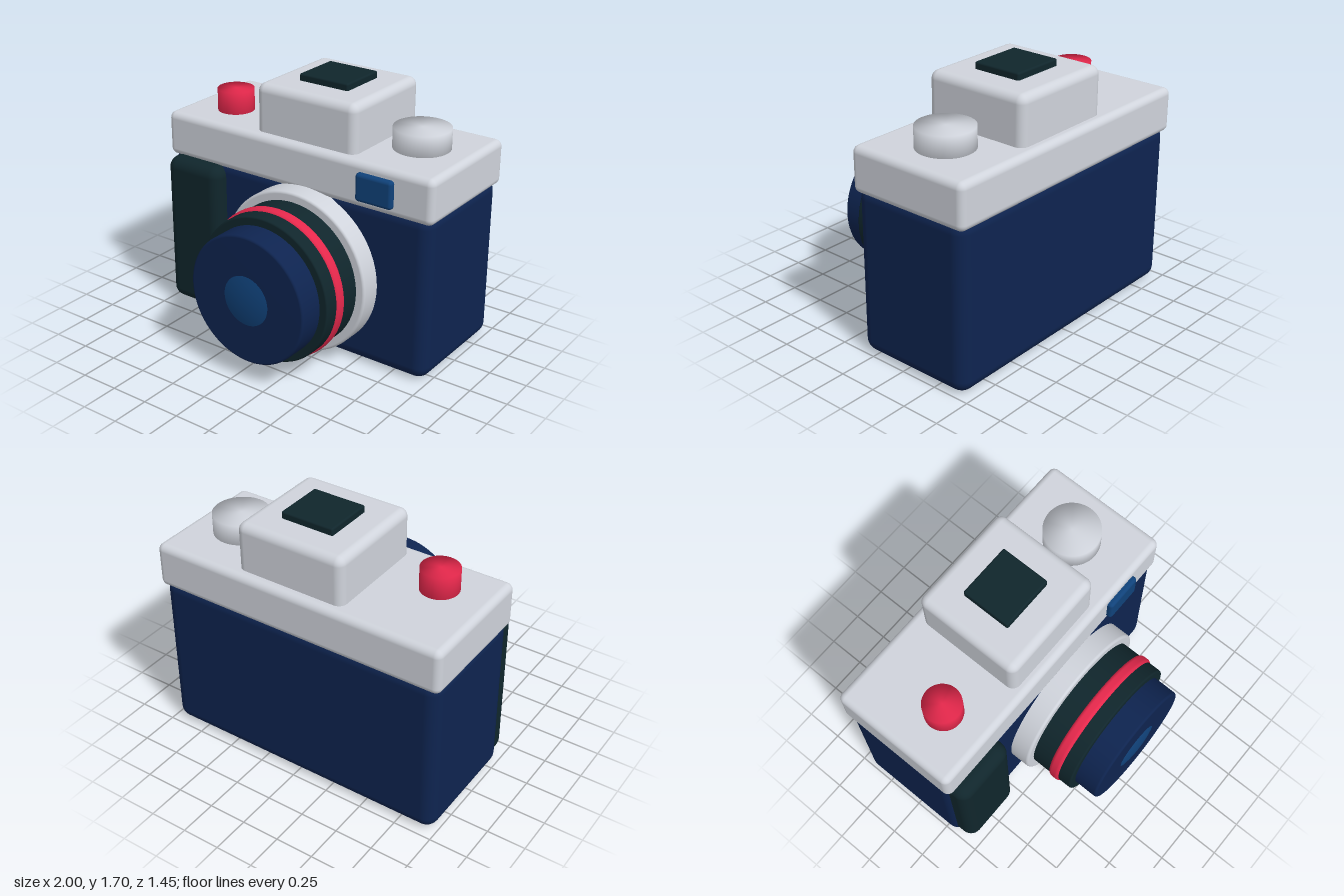
import * as THREE from 'three';
import { RoundedBoxGeometry } from 'three/addons/geometries/RoundedBoxGeometry.js';
import { mergeVertices } from 'three/addons/utils/BufferGeometryUtils.js';

const mat = (name, color) => new THREE.MeshStandardMaterial({ name, color });

export function createModel() {
  const silver = mat('silver', 0xd0d4dc);
  const navy = mat('navy', 0x0e2450);
  const rubber = mat('dark rubber', 0x10262c);
  const red = mat('red', 0xe6284c);
  const blue = mat('glass blue', 0x10427a);

  const group = new THREE.Group();
  group.name = 'camera';

  const add = (name, geometry, material) => {
    const mesh = new THREE.Mesh(geometry, material);
    mesh.name = name;
    group.add(mesh);
    return mesh;
  };

  // Rounded box given by its minimum and maximum corners
  const box = (name, material, [x0, y0, z0], [x1, y1, z1], radius) => {
    const g = new RoundedBoxGeometry(x1 - x0, y1 - y0, z1 - z0, 4, radius);
    add(name, g, material).position.set((x0 + x1) / 2, (y0 + y1) / 2, (z0 + z1) / 2);
  };

  // Body, top plate and fittings
  box('body', navy, [-0.985, 0, -0.71], [0.985, 1.1, 0.11], 0.085);
  box('topPlate', silver, [-1, 1.05, -0.725], [1, 1.345, 0.12], 0.045);
  box('viewfinderHump', silver, [-0.32, 1.25, -0.66], [0.42, 1.655, 0.058], 0.055);
  box('accessoryShoe', rubber, [-0.13, 1.62, -0.47], [0.23, 1.7, -0.14], 0.012);
  box('grip', rubber, [-0.965, 0.04, 0], [-0.53, 1.065, 0.205], 0.075);
  box('viewfinderWindow', blue, [0.485, 1.105, 0.06], [0.74, 1.285, 0.155], 0.022);

  // Softly shaded knobs: normals shared between side and cap
  const knob = (name, material, x, z, radius, top) => {
    const height = top - 1.3;
    let g = new THREE.CylinderGeometry(radius, radius, height, 48);
    g.deleteAttribute('uv');
    g.deleteAttribute('normal');
    g = mergeVertices(g);
    g.computeVertexNormals();
    add(name, g, material).position.set(x, 1.3 + height / 2, z);
  };
  knob('shutterButton', red, -0.67, -0.18, 0.12, 1.49);
  knob('speedDial', silver, 0.665, -0.305, 0.18, 1.477);

  // Lens parts: discs with rounded rims, turned to face the front
  const disc = (name, material, radius, back, front, bevel) => {
    const points = [new THREE.Vector2(0, back)];
    const arc = (y, start) => {
      for (let i = 0; i <= 5; i++) {
        const a = start + (i / 5) * Math.PI / 2;
        points.push(new THREE.Vector2(radius - bevel + Math.cos(a) * bevel, y + Math.sin(a) * bevel));
      }
    };
    arc(back + bevel, -Math.PI / 2);
    arc(front - bevel, 0);
    points.push(new THREE.Vector2(0, front));
    const g = new THREE.LatheGeometry(points, 72);
    g.rotateX(Math.PI / 2);
    add(name, g, material).position.set(0.1, 0.555, 0);
  };
  disc('lensMount', silver, 0.535, 0.04, 0.247, 0.018);
  disc('lensBarrel', rubber, 0.475, 0.2, 0.545, 0.012);
  disc('lensRing', red, 0.488, 0.375, 0.455, 0.025);
  disc('lensFront', navy, 0.42, 0.5, 0.71, 0.016);

  // Shallow domed front glass
  const r = 0.167, sag = 0.018, R = (r * r + sag * sag) / (2 * sag);
  const glass = new THREE.SphereGeometry(R, 48, 8, 0, Math.PI * 2, 0, Math.asin(r / R));
  glass.rotateX(Math.PI / 2);
  add('frontGlass', glass, blue).position.set(0.1, 0.555, 0.727 - R);

  return group;
}
